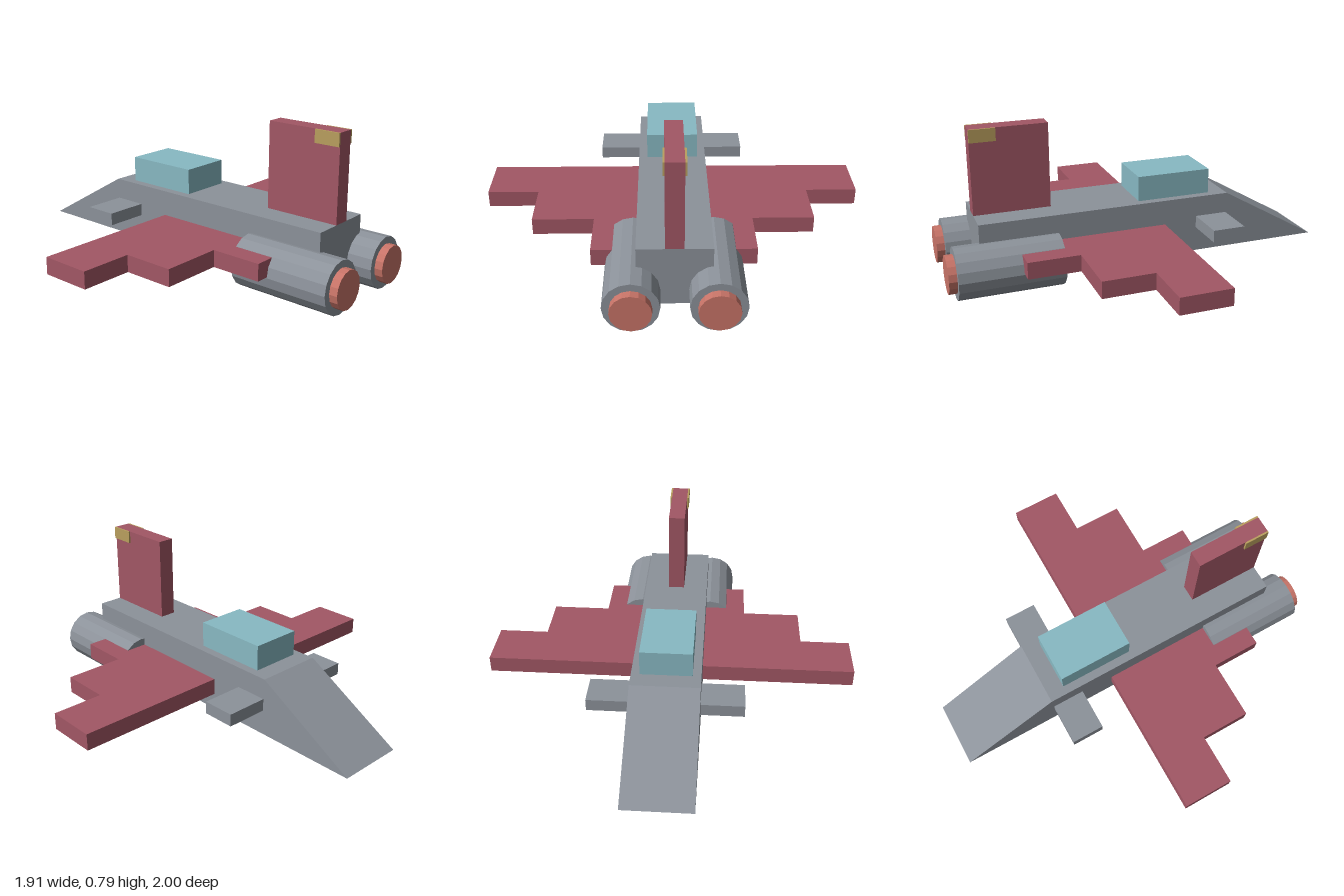
import * as THREE from 'three';

const mat = (name, color) => {
  const m = new THREE.MeshStandardMaterial({ color });
  m.name = name;
  return m;
};

export function createModel() {
  const grey = mat('hull grey', 0x8c929a);
  const red = mat('wing red', 0xa25765);
  const blue = mat('canopy blue', 0x88b9c3);
  const gold = mat('trim gold', 0xb99f5e);
  const glow = mat('exhaust orange', 0xc87468);

  const model = new THREE.Group();
  model.name = 'spaceFighter';

  const add = (name, geometry, material) => {
    const mesh = new THREE.Mesh(geometry, material);
    mesh.name = name;
    model.add(mesh);
    return mesh;
  };
  // Box given by its lower and upper corners
  const box = (name, material, [x0, y0, z0], [x1, y1, z1]) =>
    add(name, new THREE.BoxGeometry(x1 - x0, y1 - y0, z1 - z0), material)
      .position.set((x0 + x1) / 2, (y0 + y1) / 2, (z0 + z1) / 2);
  const extrude = (points, depth) => new THREE.ExtrudeGeometry(
    new THREE.Shape(points.map(([x, y]) => new THREE.Vector2(x, y))),
    { depth, bevelEnabled: false });

  // Fuselage: side profile (-z, y) with a sloping nose, extruded across x
  const hull = extrude([[-0.83, 0.05], [1, 0.05], [0.48, 0.35], [-0.83, 0.35]], 0.346);
  hull.translate(0, 0, -0.173).rotateY(Math.PI / 2);
  add('fuselage', hull, grey);

  // Cockpit canopy and tail fin
  box('canopy', blue, [-0.13, 0.35, -0.39], [0.13, 0.48, 0]);
  box('tailFin', red, [-0.043, 0.35, 0.44], [0.043, 0.785, 0.83]);

  // Stepped wings: plan outline (x, z), extruded downwards from the top
  const half = [[0.955, -0.13], [0.955, 0.13], [0.695, 0.13], [0.695, 0.39], [0.39, 0.39], [0.39, 0.65]];
  const outline = [...half, ...half.map(([x, z]) => [-x, z]).reverse()];
  const wings = extrude(outline, 0.085);
  wings.rotateX(Math.PI / 2).translate(0, 0.22, 0);
  add('wings', wings, red);

  // Small forward wings
  box('forwardWings', grey, [-0.39, 0.18, -0.475], [0.39, 0.243, -0.305]);

  for (const [side, s] of [['left', 1], ['right', -1]]) {
    // Engine pod and exhaust
    const tube = (name, r, z0, z1, material) => {
      const g = new THREE.CylinderGeometry(r, r, z1 - z0, 16).toNonIndexed();
      g.computeVertexNormals();
      g.rotateX(Math.PI / 2);
      add(side + name, g, material).position.set(s * 0.195, 0.13, (z0 + z1) / 2);
    };
    tube('Engine', 0.13, 0.44, 0.96, grey);
    tube('Exhaust', 0.095, 0.95, 1, glow);

    // Gold plate at the tip of the fin
    const x = s * 0.0475;
    box(side + 'FinTrim', gold, [x - 0.0045, 0.72, 0.7], [x + 0.0045, 0.785, 0.83]);
  }
  return model;
}
